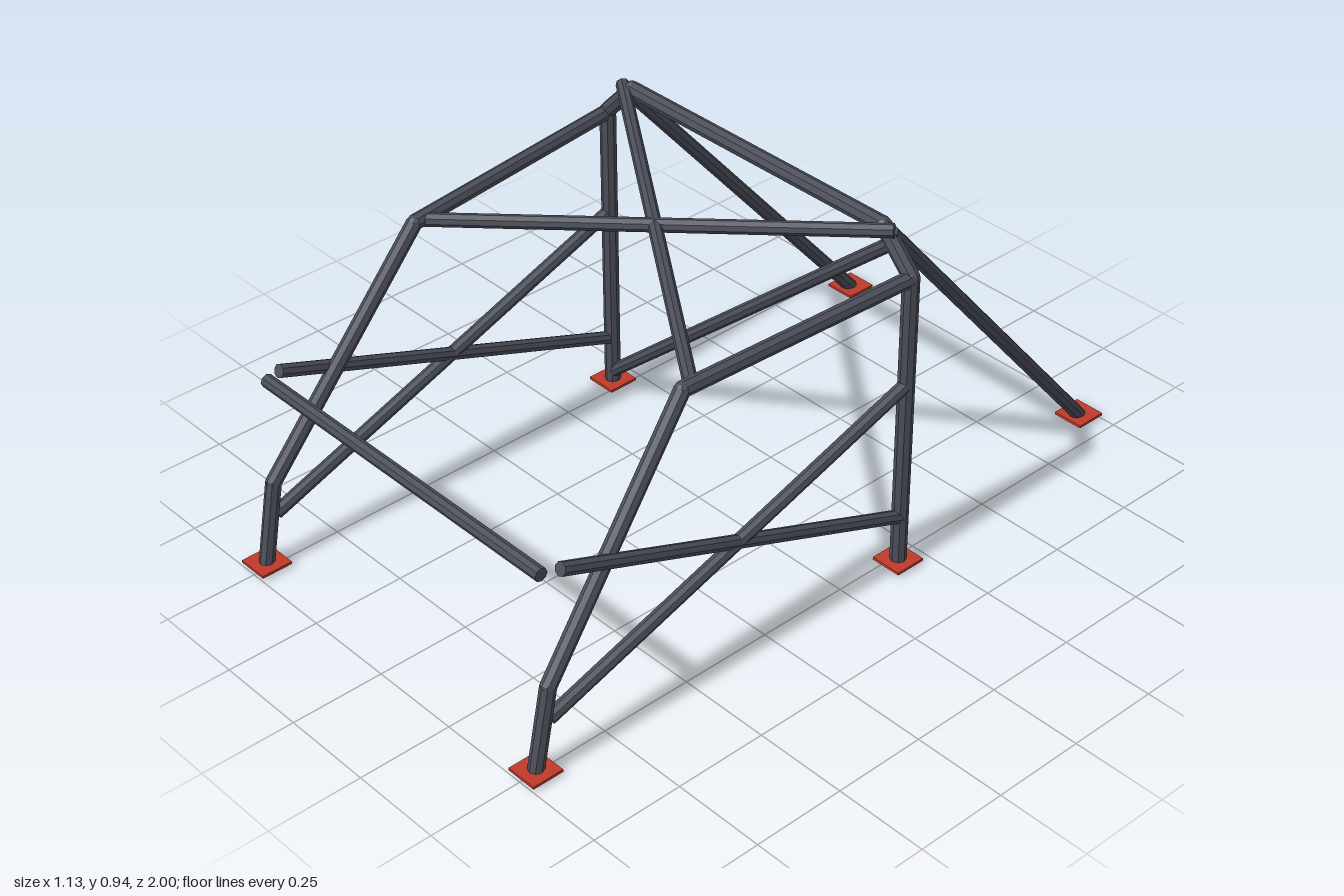
import * as THREE from 'three';

const steel = new THREE.MeshStandardMaterial({ color: 0x4b4e59, flatShading: true });
steel.name = 'steelGrey';
const red = new THREE.MeshStandardMaterial({ color: 0xc0392b, flatShading: true });
red.name = 'plateRed';

const UP = new THREE.Vector3(0, 1, 0);

export function createModel() {
  const cage = new THREE.Group();
  cage.name = 'rollCage';

  // straight eight-sided tube between two points
  function tube(name, a, b, r) {
    const p = new THREE.Vector3(...a), q = new THREE.Vector3(...b);
    const dir = q.clone().sub(p);
    const mesh = new THREE.Mesh(new THREE.CylinderGeometry(r, r, dir.length(), 8), steel);
    mesh.position.copy(p).add(q).multiplyScalar(0.5);
    mesh.quaternion.setFromUnitVectors(UP, dir.normalize());
    mesh.name = name;
    cage.add(mesh);
  }

  // bent tube: straight runs with a rounded knuckle at each bend
  function bentTube(name, points, r) {
    for (let i = 1; i < points.length; i++) {
      tube(name, points[i - 1], points[i], r);
      if (i === points.length - 1) continue;
      const knuckle = new THREE.Mesh(new THREE.SphereGeometry(r, 8, 6), steel);
      knuckle.position.set(...points[i]);
      knuckle.name = name + 'Bend';
      cage.add(knuckle);
    }
  }

  function footPlate(name, x, z) {
    const mesh = new THREE.Mesh(new THREE.BoxGeometry(0.086, 0.007, 0.086), red);
    mesh.position.set(x, 0.017, z);
    mesh.name = name;
    cage.add(mesh);
  }

  const hoopZ = -0.175, hoopR = 0.021, legR = 0.02, braceR = 0.0175;

  // main hoop and its diagonal
  bentTube('mainHoop', [
    [-0.523, 0.016, hoopZ], [-0.523, 0.83, hoopZ], [-0.43, 0.927, hoopZ],
    [0.43, 0.927, hoopZ], [0.523, 0.83, hoopZ], [0.523, 0.016, hoopZ],
  ], hoopR);
  tube('hoopDiagonal', [-0.515, 0.05, hoopZ], [0.46, 0.892, hoopZ], braceR);

  // bar under the dashboard
  tube('dashBar', [-0.495, 0.537, 0.913], [0.495, 0.537, 0.913], braceR);

  for (const s of [1, -1]) {
    const side = s > 0 ? 'left' : 'right';
    // front leg, windscreen pillar and roof rail
    bentTube(side + 'FrontLeg', [
      [s * 0.505, 0.016, 0.957], [s * 0.507, 0.235, 0.915],
      [s * 0.468, 0.8, 0.48], [s * 0.523, 0.826, hoopZ],
    ], legR);
    // crossed door bars
    tube(side + 'DoorBarRising', [s * 0.507, 0.145, 0.915], [s * 0.525, 0.535, hoopZ], braceR);
    tube(side + 'DoorBarFalling', [s * 0.507, 0.537, 0.87], [s * 0.525, 0.148, hoopZ], braceR);
    // roof cross and rear stay
    tube(side + 'RoofDiagonal', [s * 0.465, 0.798, 0.452], [-s * 0.465, 0.927, hoopZ], braceR);
    tube(side + 'RearStay', [s * 0.452, 0.918, hoopZ], [s * 0.417, 0.016, -0.957], 0.019);
    // floor plates
    footPlate(side + 'FrontPlate', s * 0.505, 0.957);
    footPlate(side + 'HoopPlate', s * 0.523, hoopZ);
    footPlate(side + 'RearPlate', s * 0.417, -0.957);
  }
  return cage;
}
